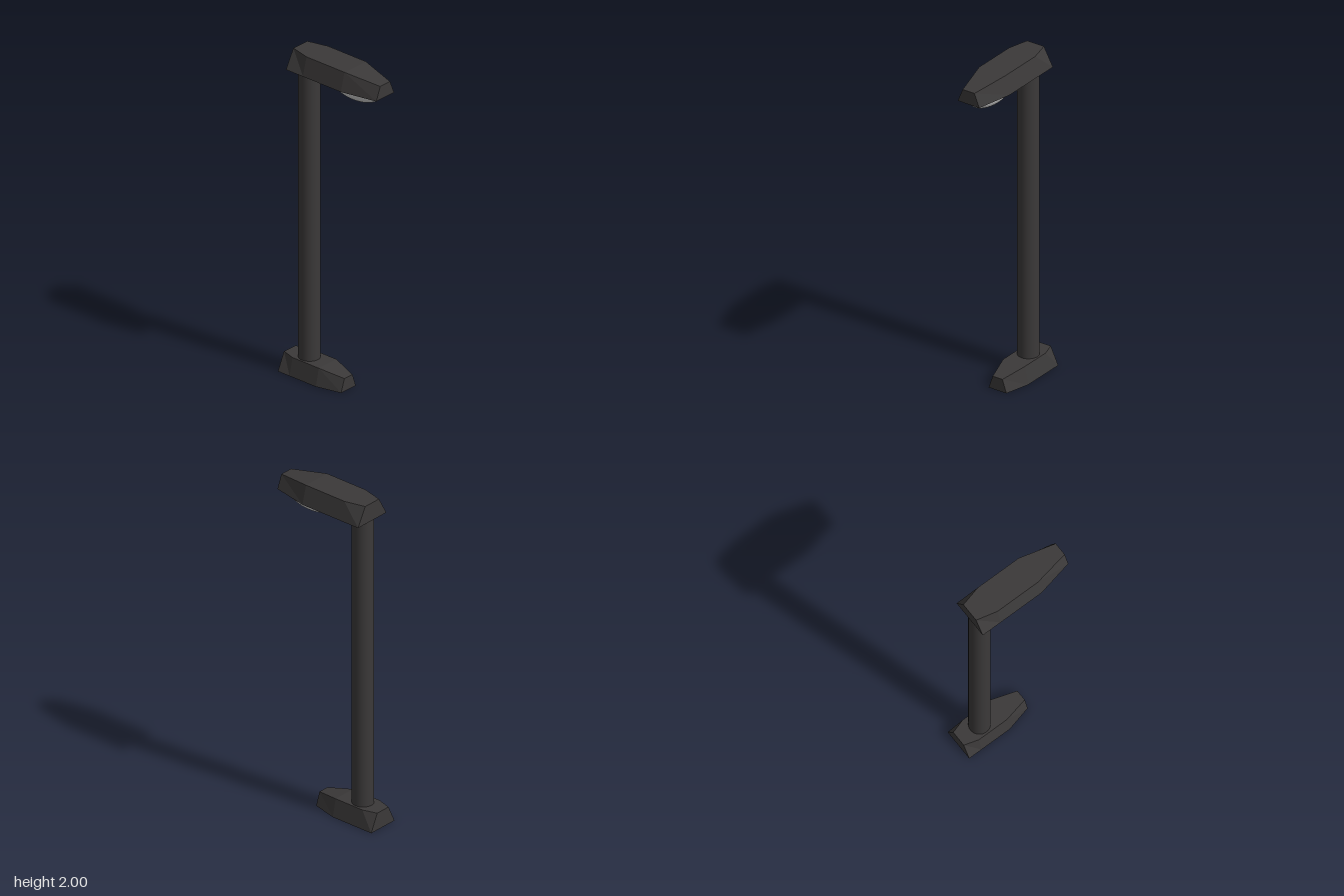
import * as THREE from 'three';

const dark = new THREE.MeshStandardMaterial({ color: 0x3b3939, flatShading: true });
const darkSmooth = new THREE.MeshStandardMaterial({ color: 0x3b3939 });
const grey = new THREE.MeshStandardMaterial({ color: 0xcccccc });

// Lofts trapezoid sections [x, bottom half width, top half width, top y] along x
function loft(sections, bottomY) {
  const positions = [];
  const rings = sections.map(([x, bottom, top, topY]) => [
    [x, bottomY, bottom], [x, bottomY, -bottom], [x, topY, -top], [x, topY, top],
  ]);
  const quad = (a, b, c, d) => positions.push(...a, ...b, ...c, ...a, ...c, ...d);
  for (let i = 0; i < rings.length - 1; i++) {
    for (let j = 0; j < 4; j++) {
      const k = (j + 1) % 4;
      quad(rings[i][j], rings[i][k], rings[i + 1][k], rings[i + 1][j]);
    }
  }
  const first = rings[0], last = rings[rings.length - 1];
  quad(first[3], first[2], first[1], first[0]);
  quad(last[0], last[1], last[2], last[3]);
  const geometry = new THREE.BufferGeometry();
  geometry.setAttribute('position', new THREE.Float32BufferAttribute(positions, 3));
  geometry.computeVertexNormals();
  return geometry;
}

export function createModel() {
  const group = new THREE.Group();
  const add = (name, geometry, material, x = 0, y = 0, z = 0) => {
    const mesh = new THREE.Mesh(geometry, material);
    mesh.name = name;
    mesh.position.set(x, y, z);
    group.add(mesh);
    return mesh;
  };

  // Faceted foot, tapering toward +x
  add('base', loft([
    [-0.353, 0.097, 0.047, 0.105],
    [-0.267, 0.097, 0.073, 0.105],
    [-0.073, 0.097, 0.073, 0.105],
    [0.08, 0.06, 0.033, 0.078],
  ], 0), dark);

  // Round post, ends sunk into base and head
  add('pole', new THREE.CylinderGeometry(0.062, 0.062, 1.84, 32), darkSmooth, -0.208, 1.0);

  // Lamp housing, a larger version of the foot
  add('lampHead', loft([
    [-0.275, 0.118, 0.057, 2],
    [-0.15, 0.118, 0.088, 2],
    [0.13, 0.118, 0.088, 2],
    [0.351, 0.073, 0.04, 1.97],
  ], 1.89), dark);

  // Lower half of an ellipsoid hanging below the housing
  const lens = add('lens',
    new THREE.SphereGeometry(1, 32, 12, 0, Math.PI * 2, Math.PI / 2, Math.PI / 2),
    grey, 0.148, 1.89);
  lens.scale.set(0.173, 0.08, 0.079);

  return group;
}
